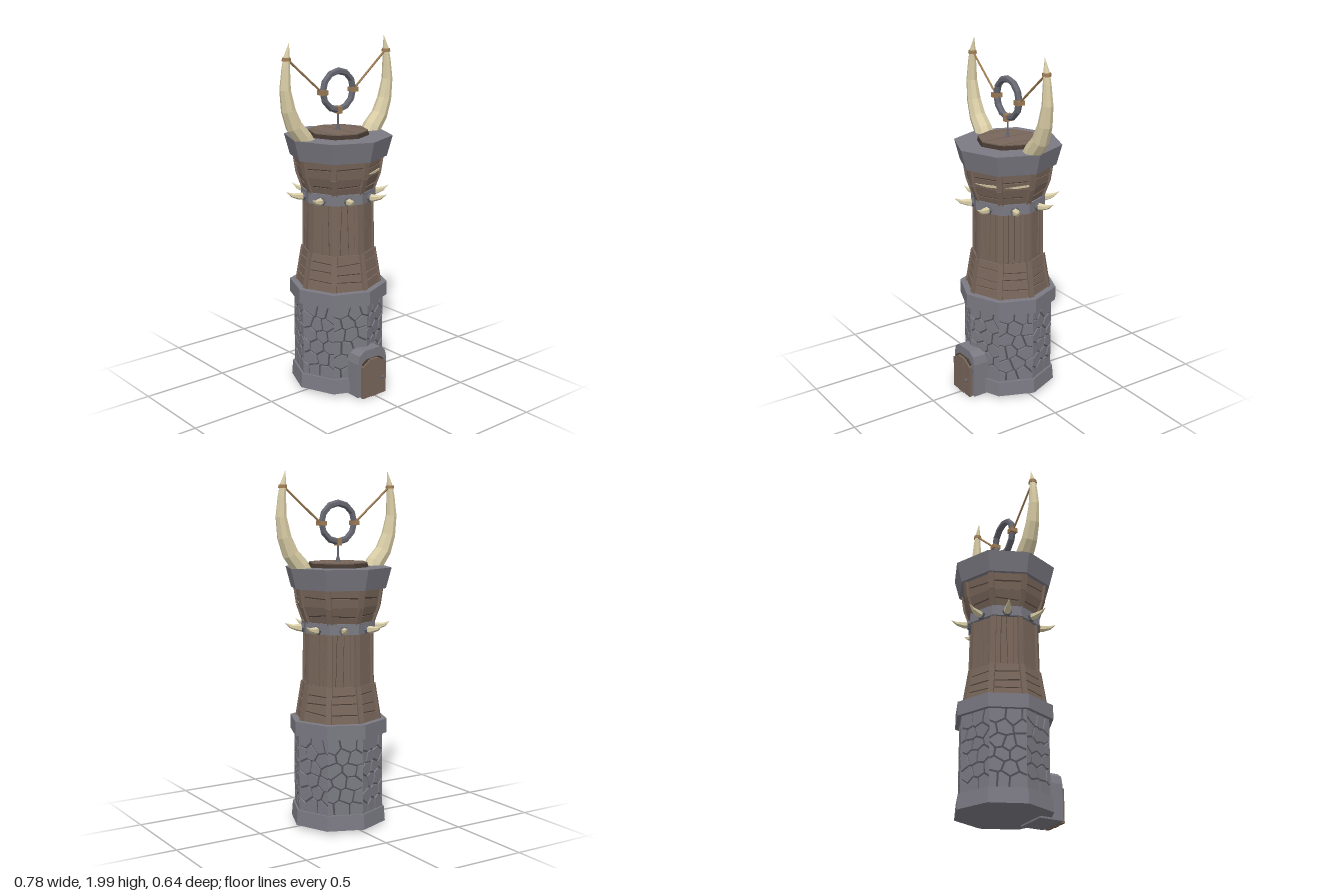
import * as THREE from 'three';
import { mergeGeometries } from 'three/addons/utils/BufferGeometryUtils.js';

const mat = (name, color) => Object.assign(new THREE.MeshStandardMaterial({ color }), { name });
const STEP = Math.PI / 4, HALF = Math.PI / 8, CZ = -0.0175;

// small seeded random generator
function seeded(seed) {
  return () => (seed = (seed * 16807) % 2147483647) / 2147483647;
}

function flat(g) {
  const f = g.index ? g.toNonIndexed() : g;
  f.computeVertexNormals();
  return f;
}

// a point on face k of an octagonal tier; u in -1..1 across, v in 0..1 up, d outward
function facePoint(t, k, u, v, d) {
  const a = HALF + k * STEP, r = t.r0 + (t.r1 - t.r0) * v;
  const out = r * Math.cos(HALF) + d, side = u * (r * Math.sin(HALF) + d * Math.tan(HALF));
  return [Math.sin(a) * out + Math.cos(a) * side, t.y0 + (t.y1 - t.y0) * v, Math.cos(a) * out - Math.sin(a) * side];
}

// convex polygon in (u, v) raised from a tier face
function slab(t, k, poly, d) {
  const pos = [], lo = poly.map(([u, v]) => facePoint(t, k, u, v, -0.002)), hi = poly.map(([u, v]) => facePoint(t, k, u, v, d));
  for (let i = 0; i < poly.length; i++) {
    const j = (i + 1) % poly.length;
    if (i > 0 && j > 0) pos.push(...hi[0], ...hi[i], ...hi[j]);
    pos.push(...lo[i], ...lo[j], ...hi[j], ...lo[i], ...hi[j], ...hi[i]);
  }
  const g = new THREE.BufferGeometry();
  g.setAttribute('position', new THREE.Float32BufferAttribute(pos, 3));
  g.computeVertexNormals();
  return g;
}

// keep the part of a polygon where (p - m).n <= 0
function clip(poly, mx, my, nx, ny) {
  const out = [], side = (p) => (p[0] - mx) * nx + (p[1] - my) * ny;
  poly.forEach((p, i) => {
    const q = poly[(i + 1) % poly.length], a = side(p), b = side(q);
    if (a <= 0) out.push(p);
    if (a * b < 0) out.push([p[0] + (q[0] - p[0]) * a / (a - b), p[1] + (q[1] - p[1]) * a / (a - b)]);
  });
  return out;
}

// irregular stone cells for one wall face, in real units w by h
function stoneCells(w, h, rnd) {
  const pts = [], cells = [];
  for (let r = 0; r < 6; r++) for (let c = 0; c < 3; c++) {
    pts.push([((c + (r % 2) * 0.5 - 0.25 + rnd() * 0.5) / 2.5 - 0.5) * w, (r + 0.25 + rnd() * 0.5) / 6 * h]);
  }
  for (const p of pts) {
    let poly = [[-w / 2, 0], [w / 2, 0], [w / 2, h], [-w / 2, h]];
    for (const q of pts) {
      if (q === p) continue;
      const dx = q[0] - p[0], dy = q[1] - p[1], l = Math.hypot(dx, dy), m = 0.5 - 0.005 / l;
      poly = clip(poly, p[0] + dx * m, p[1] + dy * m, dx / l, dy / l);
    }
    if (poly.length > 2) cells.push(poly.map(([x, y]) => [x / w * 2, y / h]));
  }
  return cells;
}

// tapered, faceted spike along a path in the xy plane; each station is [x, y, radius]
function hornGeometry(stations, sides) {
  const pos = [], idx = [];
  stations.forEach(([x, y, r], i) => {
    const a = stations[Math.max(i - 1, 0)], b = stations[Math.min(i + 1, stations.length - 1)];
    const l = Math.hypot(b[0] - a[0], b[1] - a[1]), nx = (b[1] - a[1]) / l, ny = -(b[0] - a[0]) / l;
    for (let s = 0; s < sides; s++) {
      const t = s / sides * Math.PI * 2, c = Math.cos(t) * r;
      pos.push(x + nx * c, y + ny * c, -Math.sin(t) * r);
      if (i) {
        const p = (i - 1) * sides + s, q = (i - 1) * sides + (s + 1) % sides;
        idx.push(p, q, q + sides, p, q + sides, p + sides);
      }
    }
  });
  const g = new THREE.BufferGeometry();
  g.setAttribute('position', new THREE.Float32BufferAttribute(pos, 3));
  g.setIndex(idx);
  return flat(g);
}

export function createModel() {
  const stone = mat('stone', 0x7b7a83), mortar = mat('mortar', 0x504f56), wood = mat('wood', 0x78665a);
  const darkWood = mat('dark wood', 0x463a32), bone = mat('bone', 0xd9cda6), rope = mat('rope', 0x9f7d55), iron = mat('iron', 0x666771);
  const model = new THREE.Group(), tower = new THREE.Group(), rnd = seeded(77);
  tower.position.z = CZ;
  model.add(tower);
  const add = (name, geo, m, x = 0, y = 0, z = 0, parent = tower) => {
    const mesh = new THREE.Mesh(geo, m);
    mesh.name = name;
    mesh.position.set(x, y, z);
    parent.add(mesh);
    return mesh;
  };
  const octagon = (name, r0, r1, y0, y1, m) => add(name, flat(new THREE.CylinderGeometry(r1, r0, y1 - y0, 8)), m, 0, (y0 + y1) / 2, 0);
  const rod = (name, a, b, r, m) => {
    const A = new THREE.Vector3(...a), d = new THREE.Vector3(...b).sub(A), len = d.length();
    const mesh = add(name, flat(new THREE.CylinderGeometry(r, r, len, 6)), m);
    mesh.position.copy(A).addScaledVector(d, 0.5);
    mesh.quaternion.setFromUnitVectors(new THREE.Vector3(0, 1, 0), d.normalize());
  };

  // stone lower storey
  octagon('footing', 0.275, 0.268, 0.015, 0.1, stone);
  octagon('stoneCore', 0.247, 0.247, 0.09, 0.54, mortar);
  octagon('stoneLedge', 0.28, 0.28, 0.53, 0.61, stone);
  const wall = { y0: 0.1, y1: 0.53, r0: 0.247, r1: 0.247 }, stones = [];
  for (let k = 0; k < 8; k++) {
    for (const cell of stoneCells(0.189, 0.43, rnd)) stones.push(slab(wall, k, cell, 0.009));
  }
  add('wallStones', mergeGeometries(stones), stone);

  // timber storeys: dark core, planks and corner beams
  const tiers = [
    { y0: 0.61, y1: 0.81, r0: 0.232, r1: 0.199, rows: 4 },
    { y0: 0.81, y1: 1.11, r0: 0.19, r1: 0.185, rows: 0 },
    { y0: 1.15, y1: 1.25, r0: 0.19, r1: 0.226, rows: 2 },
    { y0: 1.25, y1: 1.35, r0: 0.226, r1: 0.241, rows: 2 },
  ];
  const planks = [];
  for (const t of tiers) {
    octagon('timberCore', t.r0, t.r1, t.y0, t.y1, darkWood);
    const n = t.rows || 4, horizontal = t.rows > 0, g = horizontal ? 0.007 / (t.y1 - t.y0) : 0.035;
    for (let k = 0; k < 8; k++) {
      const cut = (i) => (i === 0 || i === n) ? [i / n, i / n] : [i / n + (rnd() - 0.5) * 0.36 / n, i / n + (rnd() - 0.5) * 0.36 / n];
      let a = cut(0);
      for (let i = 0; i < n; i++) {
        const b = cut(i + 1), lo = i ? g / 2 : 0, hi = i < n - 1 ? g / 2 : 0;
        const poly = horizontal
          ? [[-1, a[0] + lo], [1, a[1] + lo], [1, b[1] - hi], [-1, b[0] - hi]]
          : [[a[0] * 2 - 1 + lo, 0], [b[0] * 2 - 1 - hi, 0], [b[1] * 2 - 1 - hi, 1], [a[1] * 2 - 1 + lo, 1]];
        planks.push(slab(t, k, poly, 0.005 + rnd() * 0.005));
        a = b;
      }
      const corner = new THREE.Group();
      corner.rotation.y = k * STEP;
      tower.add(corner);
      const len = Math.hypot(t.y1 - t.y0, t.r1 - t.r0);
      add('cornerBeam', new THREE.BoxGeometry(0.03, len, 0.022), wood, 0, (t.y0 + t.y1) / 2, (t.r0 + t.r1) / 2 + 0.003, corner)
        .rotation.x = Math.atan2(t.r1 - t.r0, t.y1 - t.y0);
    }
  }
  add('wallPlanks', mergeGeometries(planks), wood);
  // pale lookout slits
  for (const k of [0, 1]) {
    add('lookoutSlit', slab(tiers[3], k, [[-0.75, 0.17], [0.1, 0.1], [0.8, 0.16], [0.75, 0.28], [0, 0.22]], 0.0115), bone);
  }

  // spiked band
  octagon('spikeBand', 0.211, 0.211, 1.1, 1.16, stone);
  const spike = hornGeometry([[0.185, 1.122, 0.022], [0.225, 1.122, 0.02], [0.265, 1.13, 0.012], [0.3, 1.15, 0.0005]], 6);
  for (let k = 0; k < 8; k++) {
    const a = HALF + k * STEP;
    add('spike', spike, bone).rotation.y = a;
    const collar = new THREE.Group();
    collar.rotation.y = a;
    tower.add(collar);
    add('spikeCollar', flat(new THREE.CylinderGeometry(0.025, 0.028, 0.014, 6)), iron, 0.2, 1.122, 0, collar).rotation.z = -Math.PI / 2;
  }

  // crown and hatch
  octagon('crown', 0.272, 0.303, 1.345, 1.46, stone);
  octagon('hatch', 0.174, 0.168, 1.455, 1.482, darkWood);
  for (let i = -1; i <= 1; i += 2) {
    for (const [x0, x1, z0, z1] of [[0.004, 0.112, 0.166, 0.121], [0.12, 0.166, 0.114, 0.004]]) {
      const s = new THREE.Shape([[x0, -z0], [x1, -z1], [x1, z1], [x0, z0]].map(([x, z]) => new THREE.Vector2(x * i, z)));
      add('hatchPlank', new THREE.ExtrudeGeometry(s, { depth: 0.009, bevelEnabled: false }), wood, 0, 1.488, 0).rotation.x = Math.PI / 2;
    }
  }

  // tusks with ropes holding the ring
  const tusk = [[0.225, 1.43, 0.056], [0.25, 1.475, 0.053], [0.305, 1.54, 0.047], [0.342, 1.63, 0.04], [0.361, 1.74, 0.031],
    [0.355, 1.85, 0.023], [0.348, 1.91, 0.017], [0.332, 1.985, 0.0005]];
  const tuskGeo = hornGeometry(tusk, 8);
  for (const s of [1, -1]) {
    add('tusk', tuskGeo, bone).rotation.y = s > 0 ? 0 : Math.PI;
    add('tuskBinding', flat(new THREE.CylinderGeometry(0.023, 0.025, 0.018, 8)), rope, s * 0.35, 1.9, 0);
    rod('ringRope', [s * 0.345, 1.9, 0], [s * 0.115, 1.705, 0], 0.006, rope);
    add('ringKnot', new THREE.BoxGeometry(0.042, 0.026, 0.046), rope, s * 0.108, 1.702, 0);
  }
  add('hangingRing', flat(new THREE.TorusGeometry(0.107, 0.019, 6, 12)), iron, 0, 1.705, 0);
  add('ringKnot', new THREE.BoxGeometry(0.026, 0.04, 0.046), rope, 0, 1.598, 0);
  rod('ringTether', [0, 1.58, 0], [0, 1.48, 0], 0.005, iron);
  add('tetherAnchor', flat(new THREE.CylinderGeometry(0.008, 0.014, 0.03, 6)), iron, 0, 1.5, 0);

  // arched doorway
  const arch = (w, h) => new THREE.Shape([[-w, 0], [w, 0], [w, h * 0.74], [w * 0.88, h * 0.91], [w * 0.55, h], [-w * 0.55, h], [-w * 0.88, h * 0.91], [-w, h * 0.74]]
    .map((p) => new THREE.Vector2(...p)));
  const frame = new THREE.ExtrudeGeometry(arch(0.105, 0.272), { depth: 0.14, bevelEnabled: false });
  add('doorFrame', frame, stone, 0, 0.005, 0.145, model);
  add('doorBacking', new THREE.ExtrudeGeometry(arch(0.084, 0.222), { depth: 0.012, bevelEnabled: false }), darkWood, 0, 0.003, 0.284, model);
  const xs = [-0.087, -0.03, 0.027, 0.087];
  for (let i = 0; i < 3; i++) {
    const l = xs[i] + 0.002, r = xs[i + 1] - 0.002, hl = i ? 0.225 : 0.19, hr = i < 2 ? 0.225 : 0.19;
    const s = new THREE.Shape([[l, 0], [r, 0], [r, hr], [l, hl]].map((p) => new THREE.Vector2(...p)));
    add('doorPlank', new THREE.ExtrudeGeometry(s, { depth: 0.02 + (i % 2) * 0.003, bevelEnabled: false }), wood, 0, 0, 0.286, model);
  }
  add('doorKnob', new THREE.IcosahedronGeometry(0.011, 0), iron, 0.057, 0.1, 0.31, model);
  return model;
}
